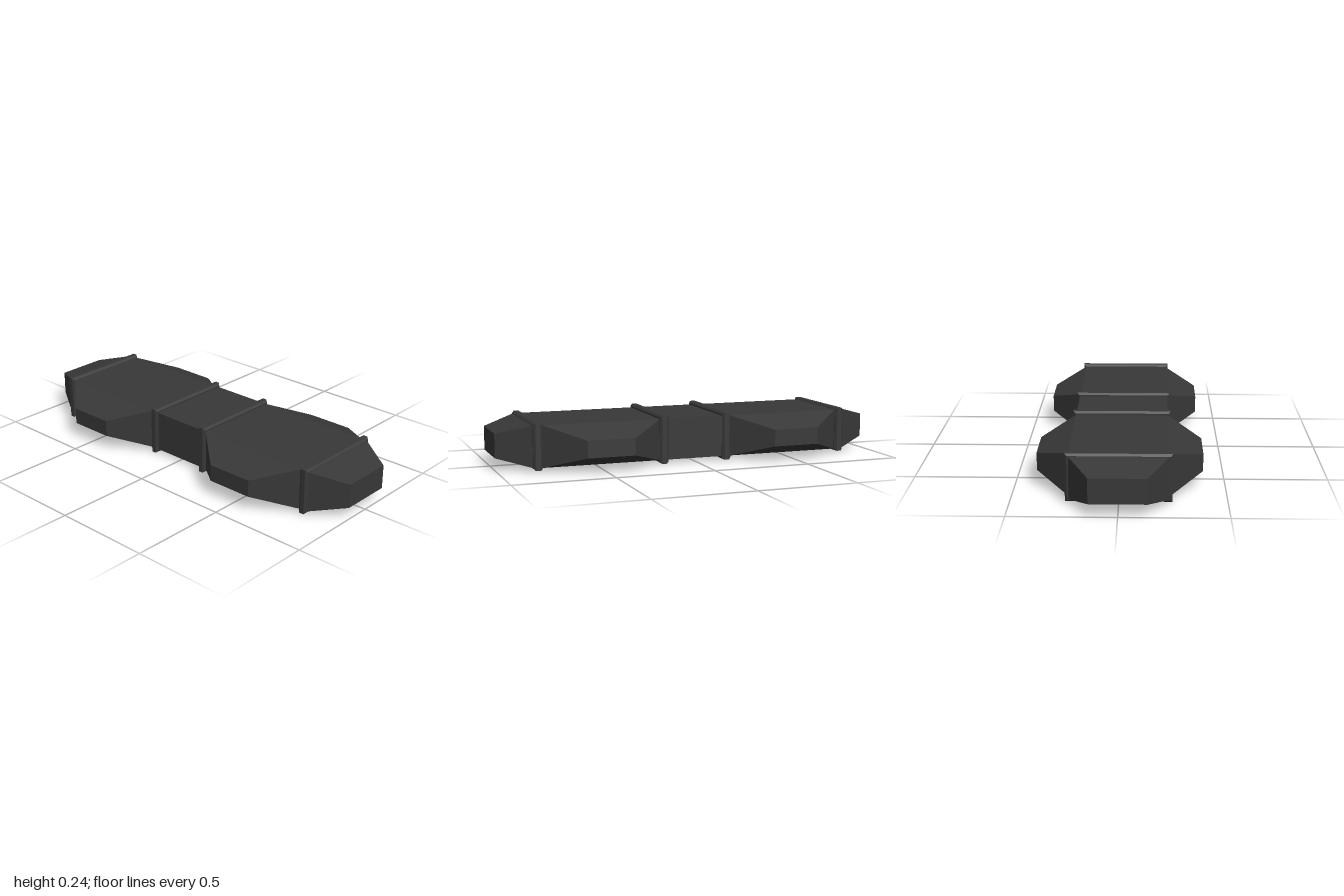
import * as THREE from 'three';

// Faceted solid lofted along z through centred rectangles [z, halfWidth, halfHeight]
function loft(sections) {
  const rings = sections.map(([z, w, h]) => [[w, -h, z], [w, h, z], [-w, h, z], [-w, -h, z]]);
  const pos = [];
  const quad = (a, b, c, d) => pos.push(...a, ...b, ...c, ...a, ...c, ...d);
  for (let i = 0; i < rings.length - 1; i++) {
    for (let k = 0; k < 4; k++) {
      const n = (k + 1) % 4;
      quad(rings[i][k], rings[i][n], rings[i + 1][n], rings[i + 1][k]);
    }
  }
  const first = rings[0], last = rings[rings.length - 1];
  quad(first[3], first[2], first[1], first[0]);
  quad(...last);
  const geo = new THREE.BufferGeometry();
  geo.setAttribute('position', new THREE.Float32BufferAttribute(pos, 3));
  geo.computeVertexNormals();
  return geo;
}

export function createModel() {
  const group = new THREE.Group();
  const dark = new THREE.MeshStandardMaterial({ color: 0x383838 });
  dark.name = 'charcoal';

  const W = 0.232, H = 0.104, midY = 0.122;

  function add(name, geo, z = 0, turn = 0) {
    const mesh = new THREE.Mesh(geo, dark);
    mesh.name = name;
    mesh.position.set(0, midY, z);
    mesh.rotation.y = turn;
    group.add(mesh);
  }

  // Bevelled band around the hull
  const band = (w, h) => loft([
    [-0.023, w - 0.01, h - 0.01], [-0.012, w, h],
    [0.012, w, h], [0.023, w - 0.01, h - 0.01],
  ]);

  // Long hull with tapered ends
  add('hull', loft([[-1, 0.133, 0.0605], [-0.828, W, H], [0.828, W, H], [1, 0.133, 0.0605]]));

  for (const s of [1, -1]) {
    const end = s > 0 ? 'front' : 'back';
    add(end + 'OuterBand', band(0.246, 0.115), s * 0.811);
    add(end + 'InnerBand', band(0.246, 0.122), s * 0.168);
    // Tapered pods on both flanks
    for (const side of [1, -1]) {
      add(end + (side > 0 ? 'Left' : 'Right') + 'Pod',
        loft([[0.2, 0.3, H], [W, 0.3, H], [0.393, 0.119, 0.0425]]),
        s * 0.488, side * Math.PI / 2);
    }
  }
  return group;
}
